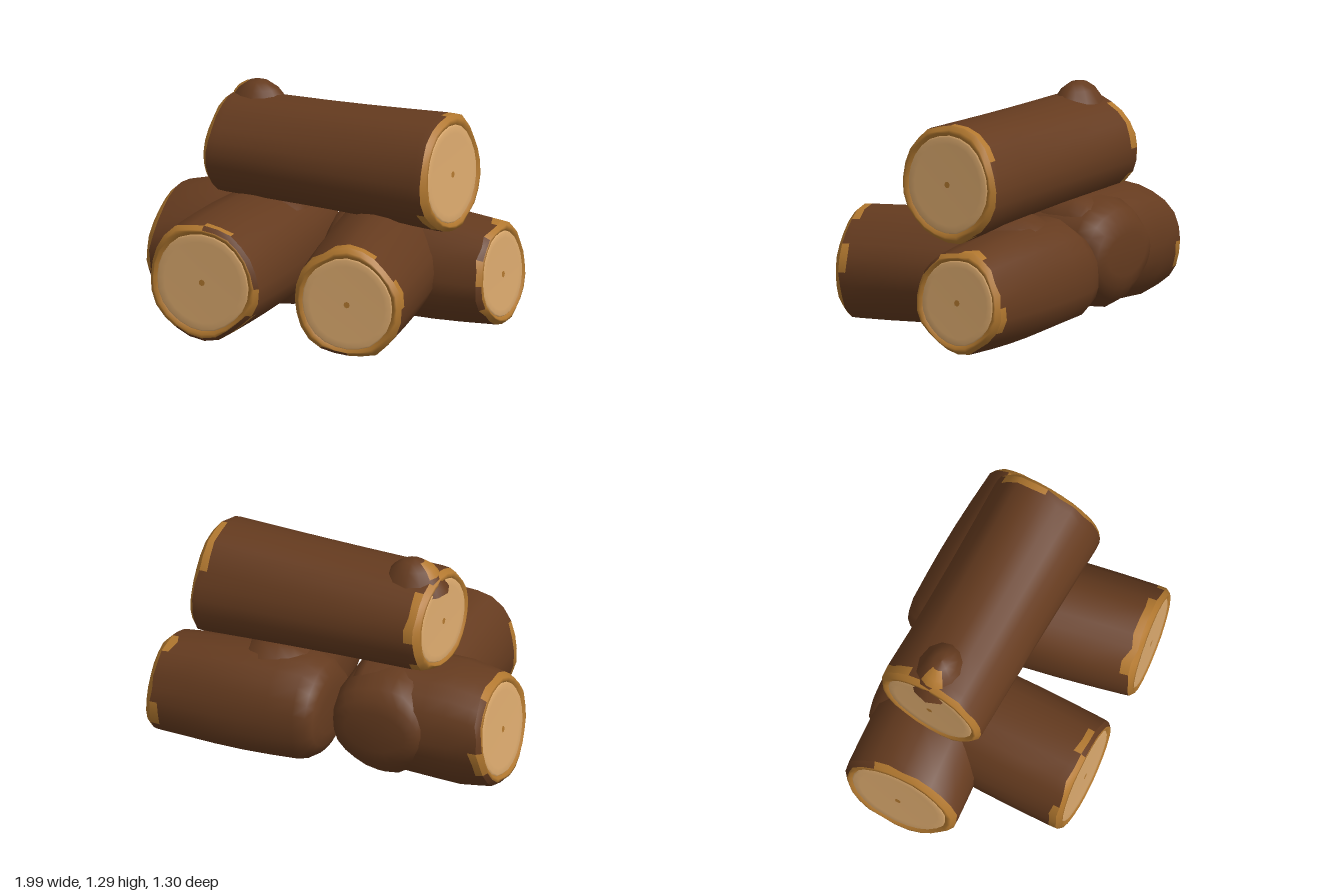
import * as THREE from 'three';

const SIDES = 24;
const V = (x, y, z) => new THREE.Vector3(x, y, z);

function mat(name, color) {
  const m = new THREE.MeshStandardMaterial({ color });
  m.name = name;
  return m;
}

// Small seeded generator, 0..1
function seeded(seed) {
  let s = seed * 7919 + 17;
  return () => (s = (s * 16807) % 2147483647) / 2147483647;
}

// Skins a list of rings; pick(ring, side) returns the material index of each quad
function loft(rings, pick) {
  const positions = rings.flat().flatMap((p) => [p.x, p.y, p.z]);
  const faces = [[], []];
  for (let i = 0; i < rings.length - 1; i++) {
    for (let j = 0; j < SIDES; j++) {
      const k = (j + 1) % SIDES;
      const a = i * SIDES + j, b = i * SIDES + k;
      const c = a + SIDES, d = b + SIDES;
      faces[pick(i, j)].push(a, b, c, b, d, c);
    }
  }
  const g = new THREE.BufferGeometry();
  g.setAttribute('position', new THREE.Float32BufferAttribute(positions, 3));
  g.setIndex(faces.flat());
  g.addGroup(0, faces[0].length, 0);
  g.addGroup(faces[0].length, faces[1].length, 1);
  g.computeVertexNormals();
  return g;
}

export function createModel() {
  const bark = mat('bark', 0x653b1f);
  const rim = mat('innerBark', 0xb2782f);
  const wood = mat('cutWood', 0xdcaa6e);
  const model = new THREE.Group();

  // A log from a to b. Normals na and nb tilt the sawn faces; no nb gives a blunt rounded end.
  // flat squashes the height at a and fades out by ramp; bulge swells the middle;
  // rimShare is how much of the sawn edge is bare of bark.
  function addLog({ name, a, b, ra, rb, na, nb, seed, flat = 1, ramp = 1, bulge = 0.03, rimShare = 0.88 }) {
    const group = new THREE.Group();
    group.name = name;
    const rand = seeded(seed);
    const axis = b.clone().sub(a);
    const len = axis.length();
    const w = axis.normalize();
    const u = V(0, 1, 0).cross(w).normalize();
    const v = w.clone().cross(u);
    const rough = Array.from({ length: SIDES }, () => (rand() - 0.5) * 0.05);

    // One ring: distance along the axis, radius factors across and upward
    function ring(dist, fu, fv = fu, jag = 0) {
      const t = dist / len;
      const c = a.clone().addScaledVector(w, dist);
      const r = THREE.MathUtils.lerp(ra, rb, t);
      const squash = THREE.MathUtils.lerp(flat, 1, Math.min(1, t * ramp));
      const lump = Math.max(fu, fv) > 0.9 ? 1 : 0.35;
      return Array.from({ length: SIDES }, (_, j) => {
        const q = (j / SIDES) * Math.PI * 2;
        const n = 0.02 * Math.sin(3 * q + seed + t * 1.5)
          + 0.02 * Math.sin(5 * q + seed * 2 - t * 2) + rough[j] * 0.8;
        const rr = r * (1 + n * lump);
        const off = u.clone().multiplyScalar(Math.cos(q) * rr * fu)
          .addScaledVector(v, Math.sin(q) * rr * fv * squash);
        const shear = (m) => (m ? -off.dot(m) / w.dot(m) : 0);
        const slide = THREE.MathUtils.lerp(shear(na), shear(nb), t);
        return c.clone().add(off).addScaledVector(w, slide + jag * rough[j]);
      });
    }

    // Clumps of peeled bark around a sawn edge
    const clumps = (chance) => {
      const list = [];
      let on = false;
      for (let j = 0; j < SIDES; j++) {
        if (j % 2 === 0) on = rand() < chance;
        list.push(on ? 1 : 0);
      }
      return list;
    };
    const peelA = clumps(0.38), peelB = clumps(0.38);
    const edgeA = clumps(rimShare), edgeB = clumps(rimShare);

    // Bark
    const rings = [ring(0.03, 1, 1, 0.3), ring(0.075, 1.01, 1.01, 0.7)];
    const stop = nb ? len - 0.075 : len * 0.88;
    for (let i = 1; i <= 5; i++) {
      const f = 1.01 + bulge * Math.sin((i / 5) * Math.PI);
      rings.push(ring(0.075 + ((stop - 0.075) * i) / 5, f, f, i === 5 && nb ? 0.7 : 0));
    }
    if (nb) rings.push(ring(len - 0.03, 1, 1, 0.3));
    else {
      rings.push(ring(len * 0.95, 0.96, 0.85), ring(len * 0.985, 0.86, 0.64),
        ring(len, 0.62, 0.4), ring(len, 0, 0));
    }
    const last = rings.length - 2;
    const pick = (i, j) => (i === 0 ? peelA[j] : nb && i === last ? peelB[j] : 0);
    const body = new THREE.Mesh(loft(rings, pick), [bark, rim]);
    body.name = 'bark';
    group.add(body);

    // Sawn end: bevelled rim, wood face and pith
    function addEnd(atStart) {
      const at = (d) => (atStart ? d : len - d);
      const order = (list) => (atStart ? list.reverse() : list);
      const edge = atStart ? edgeA : edgeB;
      const outer = atStart ? 2 : 0;
      const bevel = order([ring(at(0.03), 1, 1, 0.3), ring(at(0.004), 0.93),
        ring(at(0), 0.89), ring(at(0.014), 0.835)]);
      const rimMesh = new THREE.Mesh(
        loft(bevel, (i, j) => (i === outer ? edge[j] : 1)), [bark, rim]);
      rimMesh.name = 'rim';
      const face = order([ring(at(0.014), 0.84), ring(at(0.006), 0.81),
        ring(at(0.008), 0.7), ring(at(0.008), 0)]);
      const faceMesh = new THREE.Mesh(loft(face, () => 0), [wood, wood]);
      faceMesh.name = 'cutFace';
      const normal = (atStart ? na : nb).clone().normalize();
      const pith = new THREE.Mesh(new THREE.CircleGeometry(0.018, 8), rim);
      pith.name = 'pith';
      pith.quaternion.setFromUnitVectors(V(0, 0, 1), normal);
      pith.position.copy(a).addScaledVector(w, at(0.008)).addScaledVector(normal, 0.004);
      group.add(rimMesh, faceMesh, pith);
    }
    addEnd(true);
    if (nb) addEnd(false);
    model.add(group);
    return group;
  }

  addLog({ name: 'frontLeftLog', a: V(0.475, 0.322, 0.63), b: V(0.28, 0.36, -0.5),
    ra: 0.31, rb: 0.305, na: V(0.09, 0, 1), seed: 3 });
  addLog({ name: 'frontRightLog', a: V(-0.383, 0.345, 0.655), b: V(-0.345, 0.35, -0.57),
    ra: 0.328, rb: 0.29, na: V(0, 0, 1), seed: 5, bulge: 0.045, rimShare: 0.6 });
  addLog({ name: 'sideLeftLog', a: V(0.98, 0.295, -0.325), b: V(-0.02, 0.322, -0.355),
    ra: 0.28, rb: 0.3, na: V(1, 0.06, 0.04), seed: 8, bulge: 0.05 });
  addLog({ name: 'sideRightLog', a: V(-0.96, 0.315, -0.205), b: V(-0.1, 0.35, -0.235),
    ra: 0.338, rb: 0.315, na: V(-1, 0.13, 0), seed: 12, flat: 0.87, ramp: 4,
    bulge: 0.01, rimShare: 0.65 });
  const top = addLog({ name: 'topLog', a: V(-0.605, 0.905, -0.19), b: V(0.77, 0.892, -0.125),
    ra: 0.315, rb: 0.322, na: V(-1, 0.06, -0.08), nb: V(1, 0.06, 0.08), seed: 15,
    flat: 0.86, bulge: -0.02 });

  // Branch stub swelling out of the top log, with a peeled patch
  const stub = new THREE.Group();
  stub.name = 'branchStub';
  stub.position.set(-0.43, 1.09, -0.2);
  stub.scale.set(0.2, 0.17, 0.16);
  const profile = [[1, 0], [0.82, 0.35], [0.55, 0.75], [0.28, 0.95], [0, 1]];
  const lathe = (pts, ...args) => new THREE.LatheGeometry(
    pts.map(([x, y]) => new THREE.Vector2(x, y)), ...args);
  const knob = new THREE.Mesh(lathe(profile, 12), bark);
  knob.name = 'knob';
  const patch = new THREE.Mesh(
    lathe([[0.72, 0.55], [0.57, 0.78], [0.3, 0.97]], 3, Math.PI * 1.5 - 0.6, 1.2), rim);
  patch.name = 'peeledPatch';
  stub.add(knob, patch);
  top.add(stub);

  return model;
}
